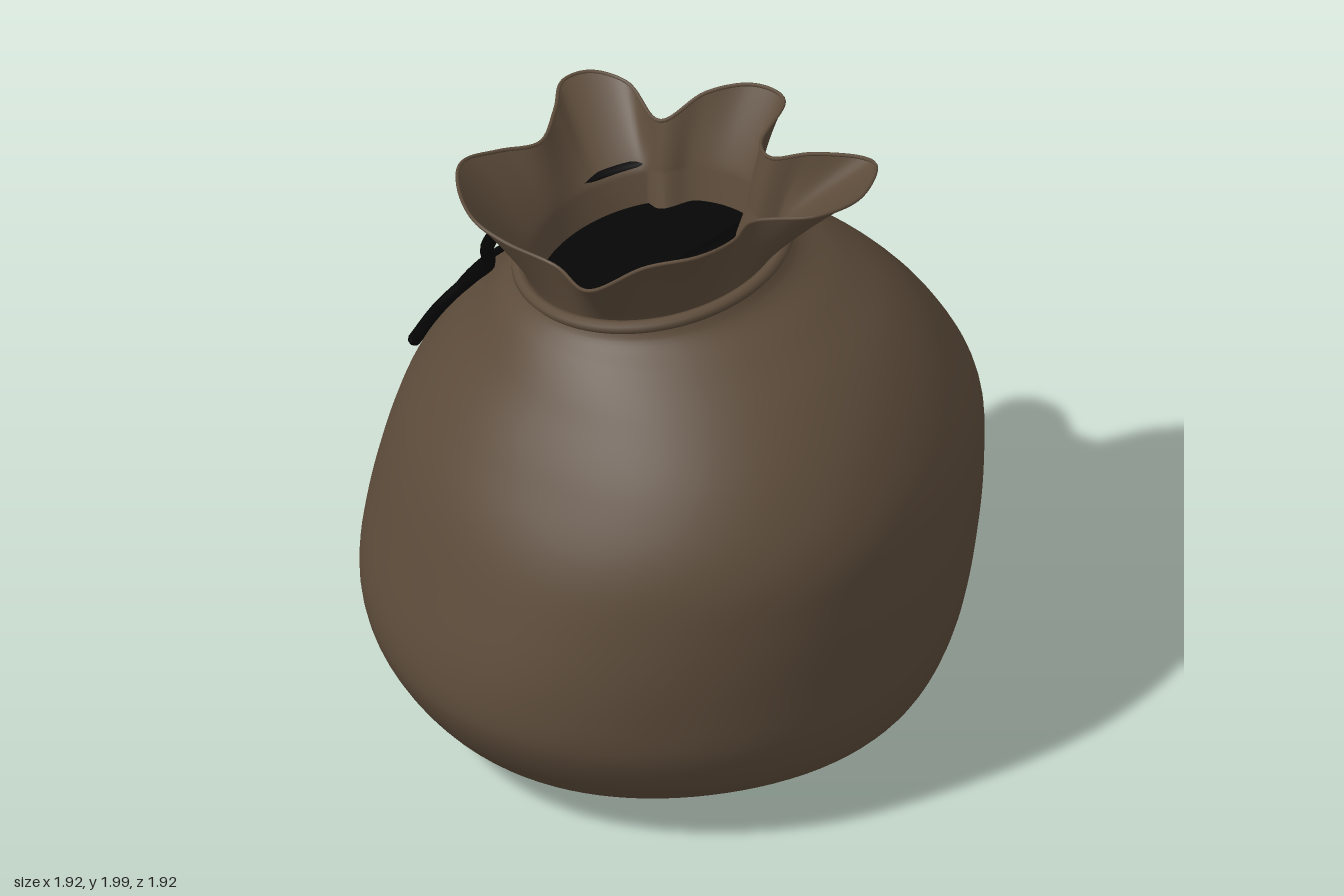
import * as THREE from 'three';

const V = (x, y, z) => new THREE.Vector3(x, y, z);
const DEG = Math.PI / 180;

// Body cross-sections, bottom to neck: xRight, yRight, xLeft, yLeft, zFront, zBack
const RINGS = [
  [-0.03, 0.03, -0.03, 0.03, 0.05, 0.05],
  [-0.25, 0.012, 0.17, 0.055, 0.28, -0.16],
  [-0.55, 0.015, 0.53, 0.115, 0.62, -0.42],
  [-0.73, 0.09, 0.70, 0.155, 0.78, -0.56],
  [-0.87, 0.24, 0.79, 0.21, 0.89, -0.67],
  [-0.95, 0.39, 0.87, 0.37, 0.95, -0.78],
  [-0.965, 0.51, 0.93, 0.61, 0.96, -0.88],
  [-0.92, 0.74, 0.96, 0.84, 0.955, -0.945],
  [-0.84, 1.0, 0.955, 1.02, 0.92, -0.92],
  [-0.74, 1.18, 0.87, 1.21, 0.82, -0.80],
  [-0.61, 1.355, 0.71, 1.41, 0.65, -0.61],
  [-0.53, 1.465, 0.53, 1.545, 0.50, -0.49],
  [-0.47, 1.525, 0.39, 1.63, 0.40, -0.40],
  [-0.445, 1.56, 0.34, 1.695, 0.375, -0.375],
];
const LAST = RINGS.length - 1;
const sideA = new THREE.CatmullRomCurve3(RINGS.map(r => V(r[0], r[1], r[4])));
const sideB = new THREE.CatmullRomCurve3(RINGS.map(r => V(r[2], r[3], r[5])));

// Soft dents and bulges: angle, amount, ring number, spread in rings
const DENTS = [
  [-143, -0.035, 7.5, 2.5], [135, 0.03, 5.5, 2], [135, -0.035, 9, 1.6], [60, 0.025, 3, 1.5],
  [-45, -0.08, 8.7, 1.7], [-50, 0.02, 5.5, 1.5], [45, -0.04, 8.3, 2], [-105, 0.02, 7, 2],
];
function dent(s, a) {
  let k = 1;
  for (const [deg, amount, ring, spread] of DENTS) {
    let d = a / DEG - deg;
    d -= 360 * Math.round(d / 360);
    k += amount * Math.exp(-(d * d) / 700 - ((s - ring) / spread) ** 2);
  }
  return k;
}

// Point on the bag at ring number s and angle a, pushed outward by off
function bagPoint(s, a, off = 0) {
  const A = sideA.getPoint(s / LAST), B = sideB.getPoint(s / LAST);
  const c = Math.cos(a), n = Math.sin(a), k = dent(s, a);
  return V(
    (A.x + B.x) / 2 + ((B.x - A.x) / 2 * k + off) * c,
    (A.y + B.y) / 2 + (B.y - A.y) / 2 * c + off * 0.6,
    (A.z + B.z) / 2 + ((A.z - B.z) / 2 * k + off) * n);
}

// Closed loops of points joined into one smooth skin
function skin(loops) {
  const n = loops[0].length, pos = [], idx = [];
  loops.forEach(l => l.forEach(p => pos.push(p.x, p.y, p.z)));
  for (let j = 0; j < loops.length - 1; j++) {
    for (let i = 0; i < n; i++) {
      const a = j * n + i, b = j * n + (i + 1) % n;
      idx.push(a, a + n, b, b, a + n, b + n);
    }
  }
  const g = new THREE.BufferGeometry();
  g.setAttribute('position', new THREE.Float32BufferAttribute(pos, 3));
  g.setIndex(idx);
  g.computeVertexNormals();
  return g;
}

// Gathered rim of the mouth, starting at the left flap
const RIM = [
  [0.59, 1.985, 0.22], [0.50, 1.99, 0.38], [0.35, 1.99, 0.44], [0.16, 1.965, 0.39],
  [0.08, 1.97, 0.48], [-0.04, 1.975, 0.54], [-0.20, 1.94, 0.51], [-0.36, 1.83, 0.44],
  [-0.42, 1.80, 0.25], [-0.55, 1.83, 0.14], [-0.62, 1.855, 0.05], [-0.63, 1.855, -0.13],
  [-0.58, 1.84, -0.28], [-0.45, 1.81, -0.345], [-0.32, 1.80, -0.37], [-0.24, 1.82, -0.50],
  [-0.19, 1.84, -0.61], [-0.10, 1.845, -0.63], [0.0, 1.83, -0.57], [0.06, 1.81, -0.38],
  [0.20, 1.90, -0.37], [0.34, 1.935, -0.33], [0.41, 1.94, -0.23], [0.30, 1.91, -0.07],
  [0.31, 1.915, 0.02], [0.42, 1.955, 0.08], [0.56, 1.975, 0.16],
];
const NECK_X = -0.052;

export function createModel() {
  const cloth = new THREE.MeshStandardMaterial({ color: 0x5c4b3a });
  cloth.name = 'brown cloth';
  cloth.side = THREE.DoubleSide;
  const dark = new THREE.MeshStandardMaterial({ color: 0x040404 });
  dark.name = 'black cord';
  dark.side = THREE.DoubleSide;

  const group = new THREE.Group();
  group.name = 'tiedSack';
  const add = (name, geometry, material) => {
    const m = new THREE.Mesh(geometry, material);
    m.name = name;
    group.add(m);
    return m;
  };

  // Sack body, its top edge tucked down inside the neck
  const SEG = 96, STEPS = 78, loops = [];
  const bodyLoop = s => Array.from({ length: SEG }, (_, i) => bagPoint(s, i / SEG * Math.PI * 2));
  for (let j = 0; j <= STEPS; j++) loops.push(bodyLoop(LAST * j / STEPS));
  for (const [scale, drop] of [[0.98, 0.13], [0.6, 0.18]]) {
    loops.push(bodyLoop(LAST).map(p => V(NECK_X + (p.x - NECK_X) * scale, p.y - drop, p.z * scale)));
  }
  add('body', skin(loops), cloth);

  // Loop inside the neck whose folds follow the rim
  const rim = new THREE.CatmullRomCurve3(RIM.map(p => V(...p)), true).getPoints(216).slice(0, -1);
  const foldLoop = (most, fold, drop) => rim.map(p => {
    const q = bagPoint(LAST, Math.atan2(p.z / 0.375, (p.x - NECK_X) / 0.392));
    const k = Math.min(most, fold * Math.hypot(p.x - NECK_X, p.z) / Math.hypot(q.x - NECK_X, q.z));
    return V(NECK_X + (q.x - NECK_X) * k, q.y - drop, q.z * k);
  });
  const mouth = foldLoop(0.91, 0.77, 0.1);
  const waist = foldLoop(0.97, 0.87, 0);

  // Flared collar from the mouth through the tied waist to the rim
  const collar = [mouth];
  for (let j = 0; j <= 14; j++) {
    const t = j / 14, f = Math.pow(t, 1.15);
    collar.push(rim.map((p, i) => {
      const q = waist[i];
      return V(q.x + (p.x - q.x) * f, q.y + (p.y - q.y) * t, q.z + (p.z - q.z) * f);
    }));
  }
  add('collar', skin(collar), cloth);

  // Thin rolled hem along the rim
  add('rimHem', new THREE.TubeGeometry(new THREE.CatmullRomCurve3(rim, true), 216, 0.006, 6, true), cloth);

  // Dark inside closing the mouth
  add('darkOpening', skin([mouth, mouth.map(() => V(NECK_X, 1.53, 0))]), dark);

  // Cord round the neck: cloth-coloured front, black back
  const cord = (name, from, to, material) => {
    const pts = [];
    for (let i = 0; i <= 40; i++) pts.push(bagPoint(LAST, (from + (to - from) * i / 40) * DEG, 0.02));
    add(name, new THREE.TubeGeometry(new THREE.CatmullRomCurve3(pts), 80, 0.021, 8), material);
  };
  cord('frontCord', 5, 212, cloth);
  cord('backCord', 212, 365, dark);

  // Knot and two hanging ends lying on the body: ring number, angle, lift
  const knot = add('knot', new THREE.SphereGeometry(0.03, 16, 12), dark);
  knot.position.copy(bagPoint(LAST, -148 * DEG, 0.04));
  const ends = [
    ['thinCordEnd', 0.013, [[13, -130, 0.025], [12, -129, 0.018], [11, -128, 0.01], [10, -128.5, 0.01],
      [9, -129, 0.01], [8.4, -129.5, 0.012], [8, -129.5, 0.014]]],
    ['thickCordEnd', 0.021, [[13, -149, 0.04], [12, -150, 0.08], [11, -149.5, 0.06], [10.2, -145, 0.02],
      [9.6, -143.5, 0.016], [8.8, -145, 0.016], [8, -145.5, 0.02]]],
  ];
  for (const [name, radius, path] of ends) {
    const pts = path.map(([s, a, lift]) => bagPoint(s, a * DEG, lift));
    add(name, new THREE.TubeGeometry(new THREE.CatmullRomCurve3(pts), 48, radius, 8), dark);
    // Closed tip
    const tip = add(name + 'Tip', new THREE.SphereGeometry(radius, 10, 8), dark);
    tip.position.copy(pts[pts.length - 1]);
  }
  return group;
}
